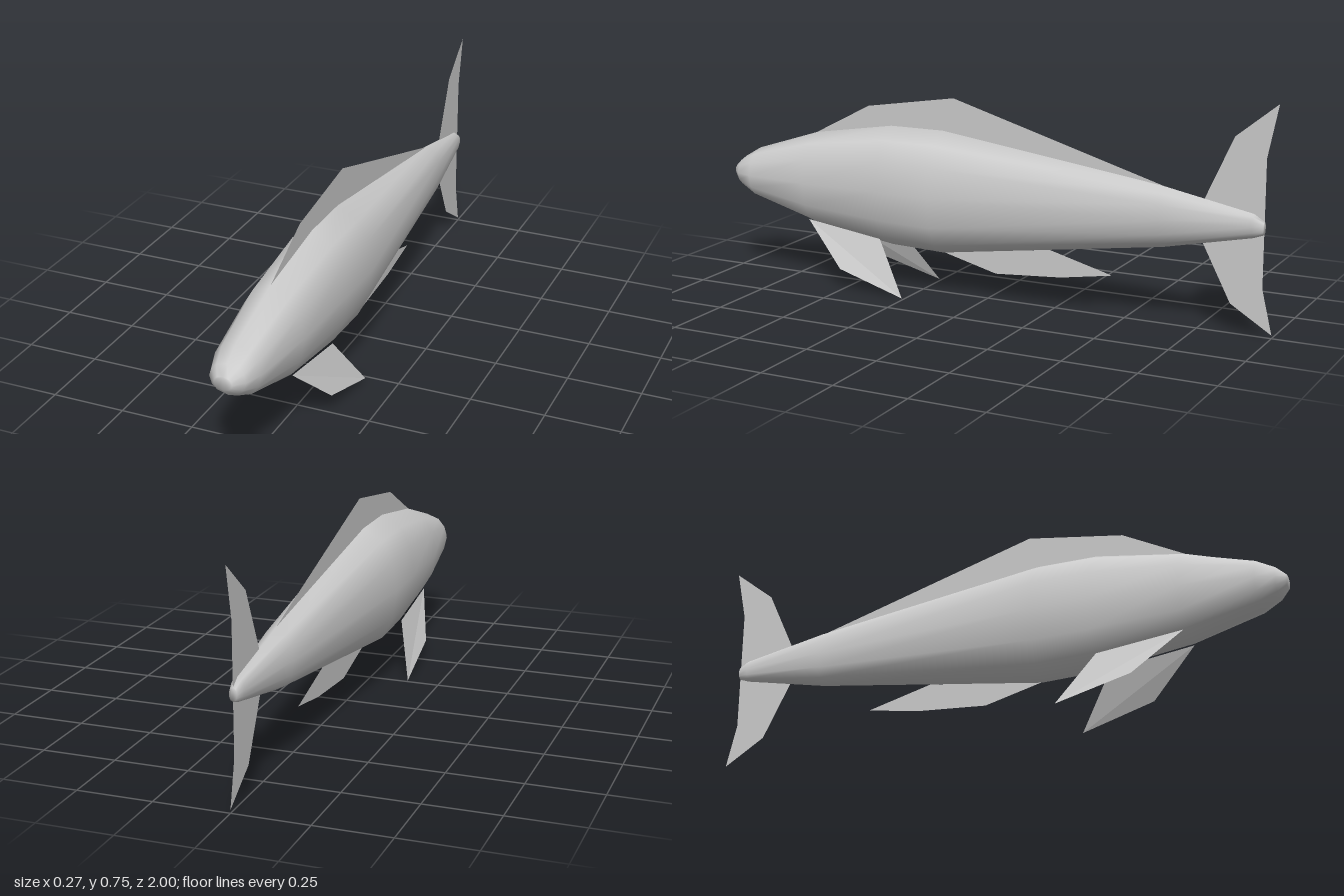
import * as THREE from 'three';

const material = new THREE.MeshStandardMaterial({ color: 0xcccccc });
const finMaterial = new THREE.MeshStandardMaterial({ color: 0xcccccc, side: THREE.DoubleSide, flatShading: true });

// Twelve-sided outline of the body: [x, y] fractions, clockwise from the top
const half = [[0, 1], [0.58, 0.81], [0.87, 0.49], [1, 0], [0.87, -0.49], [0.58, -0.81], [0, -1]];
const outline = [...half, ...half.slice(1, -1).reverse().map(([x, y]) => [-x, y])];

// Stations from nose to tail: z, half width, top, bottom
const stations = [
  [1.0, 0.03, 0.38, 0.335],
  [0.97, 0.06, 0.408, 0.303],
  [0.91, 0.08, 0.443, 0.267],
  [0.67, 0.108, 0.52, 0.193],
  [0.37, 0.12, 0.568, 0.15],
  [0.17, 0.122, 0.568, 0.143],
  [-0.63, 0.057, 0.458, 0.258],
  [-0.93, 0.022, 0.4, 0.322],
  [-0.965, 0.013, 0.378, 0.335],
];

function bodyGeometry() {
  const n = outline.length;
  const positions = [];
  const index = [];
  for (const [z, w, top, bottom] of stations) {
    for (const [x, y] of outline) {
      positions.push(x * w, (top + bottom) / 2 + (y * (top - bottom)) / 2, z);
    }
  }
  for (let s = 0; s < stations.length - 1; s++) {
    for (let i = 0; i < n; i++) {
      const a = s * n + i;
      const b = s * n + ((i + 1) % n);
      index.push(a, b, a + n, b, b + n, a + n);
    }
  }
  // Close the nose and the tail tip
  const last = (stations.length - 1) * n;
  for (let i = 1; i < n - 1; i++) {
    index.push(0, i + 1, i, last, last + i, last + i + 1);
  }
  const geometry = new THREE.BufferGeometry();
  geometry.setAttribute('position', new THREE.Float32BufferAttribute(positions, 3));
  geometry.setIndex(index);
  geometry.computeVertexNormals();
  return geometry;
}

// Flat fin on the centre plane from [z, y] corners
function centreFin(name, corners) {
  const shape = new THREE.Shape(corners.map(([z, y]) => new THREE.Vector2(-z, y)));
  const geometry = new THREE.ShapeGeometry(shape).rotateY(Math.PI / 2);
  const fin = new THREE.Mesh(geometry, finMaterial);
  fin.name = name;
  return fin;
}

// Splayed side fin: a single four-cornered blade
function sideFin(name, side) {
  const corners = [[0.065, 0.22, 0.67], [0.125, 0.073, 0.51], [0.136, 0.003, 0.26], [0.072, 0.183, 0.38]];
  const geometry = new THREE.BufferGeometry();
  geometry.setAttribute('position', new THREE.Float32BufferAttribute(
    corners.flatMap(([x, y, z]) => [side * x, y, z]), 3));
  geometry.setIndex(side > 0 ? [0, 1, 2, 0, 2, 3] : [0, 2, 1, 0, 3, 2]);
  geometry.computeVertexNormals();
  const fin = new THREE.Mesh(geometry, finMaterial);
  fin.name = name;
  return fin;
}

export function createModel() {
  const group = new THREE.Group();
  group.name = 'fish';

  const body = new THREE.Mesh(bodyGeometry(), material);
  body.name = 'body';
  group.add(body);

  group.add(
    centreFin('dorsalFin', [[0.69, 0.51], [0.46, 0.63], [0.13, 0.682], [-0.64, 0.455], [0.17, 0.54], [0.37, 0.54]]),
    centreFin('analFin', [[0.17, 0.145], [-0.03, 0.093], [-0.27, 0.11], [-0.455, 0.14], [-0.23, 0.2]]),
    centreFin('tailFin', [[-0.765, 0.43], [-0.86, 0.64], [-1, 0.753], [-0.965, 0.58],
      [-0.965, 0.16], [-1, 0.013], [-0.86, 0.1], [-0.765, 0.285]]),
    sideFin('leftPectoralFin', 1),
    sideFin('rightPectoralFin', -1),
  );
  return group;
}
